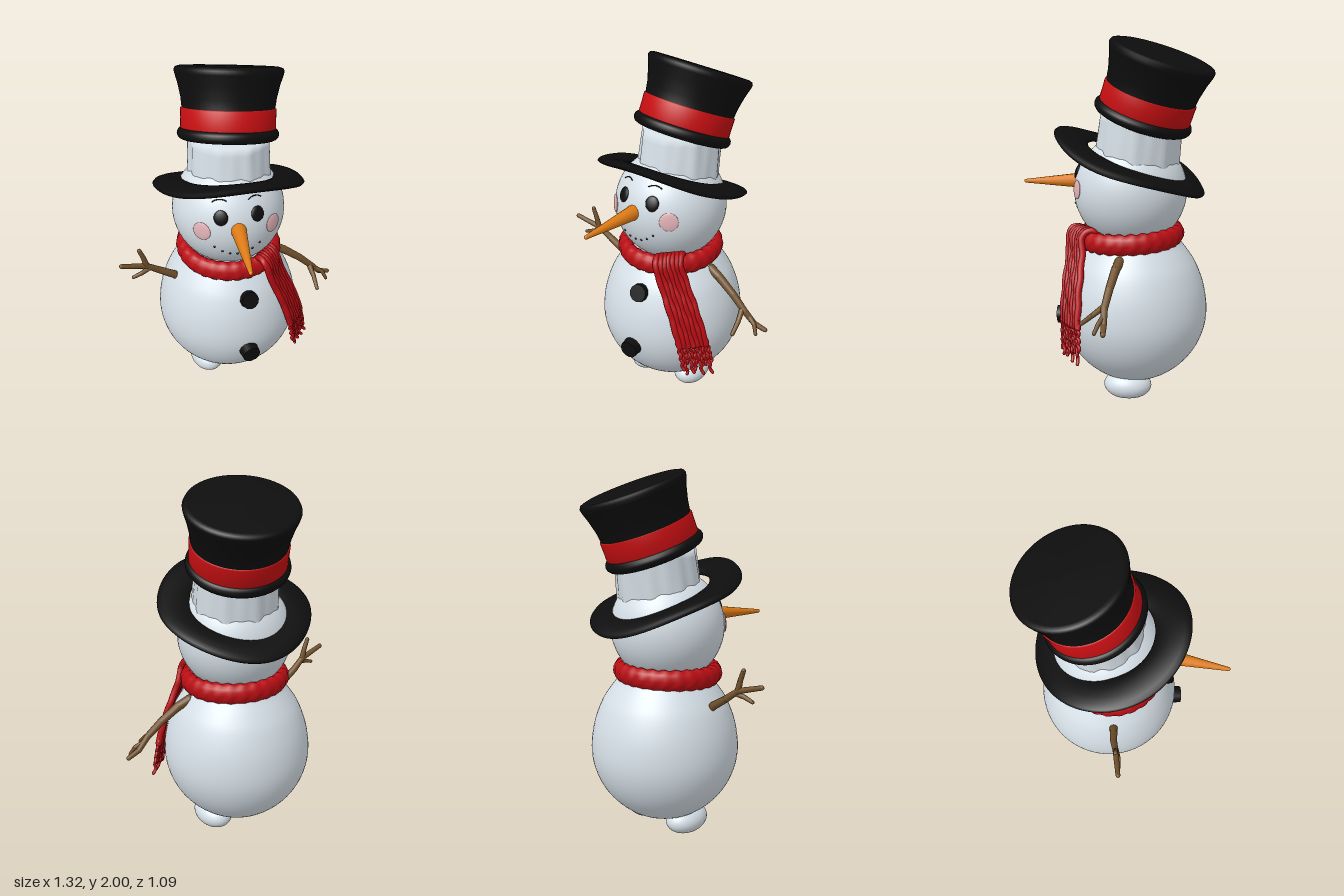
import * as THREE from 'three';
import { mergeVertices } from 'three/addons/utils/BufferGeometryUtils.js';

const paint = (name, color) => {
  const m = new THREE.MeshStandardMaterial({ color });
  m.name = name;
  return m;
};
const V = (x, y, z) => new THREE.Vector3(x, y, z);
const UP = V(0, 1, 0), FRONT = V(0, 0, 1);

// Moves every vertex by a rule and smooths the result
function bend(geometry, rule) {
  geometry.deleteAttribute('uv');
  geometry.deleteAttribute('normal');
  const g = mergeVertices(geometry, 1e-4), p = g.attributes.position, v = V(0, 0, 0);
  for (let i = 0; i < p.count; i++) {
    v.fromBufferAttribute(p, i);
    rule(v);
    p.setXYZ(i, v.x, v.y, v.z);
  }
  g.computeVertexNormals();
  return g;
}

const lathe = (pts, n = 56) => new THREE.LatheGeometry(pts.map(([x, y]) => new THREE.Vector2(x, y)), n);

export function createModel() {
  const snow = paint('snow white', 0xd5dfe6), black = paint('felt black', 0x0d0d0d);
  const red = paint('ribbon red', 0xc80f12), wool = paint('wool red', 0xb80e14);
  const wood = paint('twig brown', 0x70502b), orange = paint('carrot orange', 0xdc7a14);
  const pink = paint('cheek pink', 0xe3b3b8);

  const model = new THREE.Group();
  model.name = 'snowman';
  const add = (name, geometry, material, parent = model) => {
    const m = new THREE.Mesh(geometry, material);
    m.name = name;
    parent.add(m);
    return m;
  };
  // Tapered round piece from a to b
  const stick = (name, a, b, r0, r1, material, parent = model) => {
    const d = b.clone().sub(a);
    const m = add(name, new THREE.CylinderGeometry(r1, r0, d.length(), 12), material, parent);
    m.position.copy(a).addScaledVector(d, 0.5);
    m.quaternion.setFromUnitVectors(UP, d.normalize());
    return m;
  };

  // Body with neck
  const outline = new THREE.SplineCurve([[0, 0.055], [0.1, 0.066], [0.2, 0.105], [0.29, 0.175], [0.36, 0.265],
    [0.403, 0.37], [0.416, 0.48], [0.398, 0.61], [0.355, 0.73], [0.305, 0.81], [0.26, 0.87], [0.235, 0.92],
    [0.22, 1.0]].map(([x, y]) => new THREE.Vector2(x, y))).getPoints(48);
  add('body', new THREE.LatheGeometry(outline, 64), snow).position.z = -0.125;

  // Head, and the folded column of snow that carries the hat
  const headCentre = V(0, 1.16, -0.1), headR = 0.315;
  add('head', new THREE.SphereGeometry(headR, 56, 40), snow).position.copy(headCentre);
  const column = bend(new THREE.CylinderGeometry(0.22, 0.235, 0.36, 72, 8), v => {
    const a = Math.atan2(v.x, v.z), f = 1 + 0.02 * Math.sin(9 * a + v.y * 5) + 0.012 * Math.sin(17 * a);
    v.x = v.x * f + 0.025 + 0.04 * v.y;
    v.z = v.z * f - 0.145 - 0.12 * v.y;
  });
  add('hatColumn', column, snow).position.y = 1.41;

  // Feet, flat underneath
  for (const side of [-1, 1]) {
    const foot = bend(new THREE.SphereGeometry(1, 28, 20), v => {
      v.set(v.x * 0.1, Math.max(v.y * 0.08, -0.06), v.z * 0.135);
    });
    add(side < 0 ? 'rightFoot' : 'leftFoot', foot, snow).position.set(side * 0.153, 0.06, -0.105);
  }

  // Things resting on the head surface, facing outwards
  const onHead = (mesh, x, y, lift = 0) => {
    const dx = x - headCentre.x, dy = y - headCentre.y;
    const n = V(dx, dy, Math.sqrt(headR * headR - dx * dx - dy * dy)).normalize();
    mesh.position.copy(headCentre).addScaledVector(n, headR + lift);
    mesh.quaternion.setFromUnitVectors(FRONT, n);
    return mesh;
  };
  const spot = () => new THREE.SphereGeometry(1, 24, 16);
  for (const [side, x] of [['right', -0.145], ['left', 0.05]]) {
    onHead(add(side + 'Eye', spot(), black), x, 1.27).scale.set(0.038, 0.042, 0.012);
    const brow = new THREE.TorusGeometry(0.065, 0.003, 6, 16, 1.3).rotateZ(Math.PI / 2 - 0.65);
    onHead(add(side + 'Brow', brow, black), x, 1.3);
  }
  for (const [side, x] of [['right', -0.235], ['left', 0.145]])
    onHead(add(side + 'Cheek', spot(), pink), x, 1.18).scale.set(0.052, 0.052, 0.009);
  for (let i = 0; i < 7; i++) {
    const t = (i - 3) / 3;
    onHead(add('mouthDot', spot(), black), -0.06 + 0.12 * t, 1.035 + 0.055 * t * t).scale.setScalar(0.006);
  }
  stick('nose', V(-0.055, 1.2, 0.17), V(-0.136, 1.175, 0.53), 0.045, 0.011, orange);
  const tip = add('noseTip', spot(), orange);
  tip.position.set(-0.136, 1.175, 0.53);
  tip.scale.setScalar(0.0112);

  // Buttons
  stick('upperButton', V(-0.01, 0.715, 0.19), V(-0.01, 0.738, 0.255), 0.055, 0.05, black);
  stick('lowerButton', V(-0.03, 0.4, 0.25), V(-0.03, 0.395, 0.33), 0.057, 0.052, black);

  // Twig arms: each branch is a run of points with a start and end radius
  const twigs = {
    rightArm: [
      [[-0.28, 0.72, -0.1], [-0.34, 0.77, -0.1], [-0.43, 0.83, -0.1], [-0.5, 0.885, -0.09], [-0.645, 0.93, -0.08], 0.026, 0.013],
      [[-0.5, 0.885, -0.09], [-0.515, 0.945, -0.09], [-0.535, 1.0, -0.09], 0.017, 0.012],
      [[-0.48, 0.87, -0.09], [-0.535, 0.855, -0.075], [-0.585, 0.84, -0.075], 0.015, 0.01],
    ],
    leftArm: [
      [[0.28, 0.82, -0.07], [0.34, 0.79, -0.055], [0.44, 0.715, -0.035], [0.52, 0.64, -0.02], [0.58, 0.575, -0.025], [0.645, 0.55, -0.03], 0.027, 0.013],
      [[0.505, 0.65, -0.02], [0.51, 0.6, 0.04], [0.505, 0.55, 0.1], 0.017, 0.011],
      [[0.55, 0.61, -0.02], [0.59, 0.585, 0.0], [0.61, 0.54, 0.02], 0.014, 0.01],
    ],
  };
  for (const [name, branches] of Object.entries(twigs)) {
    const arm = new THREE.Group();
    arm.name = name;
    model.add(arm);
    for (const branch of branches) {
      const [r0, r1] = branch.slice(-2), pts = branch.slice(0, -2).map(p => V(...p)), n = pts.length - 1;
      const r = i => r0 + (r1 - r0) * i / n;
      pts.forEach((p, i) => {
        if (i < n) stick('twig', p, pts[i + 1], r(i), r(i + 1), wood, arm);
        const joint = add('twigJoint', new THREE.SphereGeometry(r(i), 12, 8), wood, arm);
        joint.position.copy(p);
      });
    }
  }

  // Scarf loop with a knitted, lumpy surface
  const loop = bend(new THREE.TorusGeometry(0.26, 0.042, 18, 160).rotateX(Math.PI / 2), v => {
    const a = Math.atan2(v.x, v.z), c = V(Math.sin(a) * 0.26, 0, Math.cos(a) * 0.26);
    const q = v.clone().sub(c);
    const turn = Math.atan2(q.y, q.x * Math.sin(a) + q.z * Math.cos(a));
    q.multiplyScalar(1 + 0.09 * Math.sin(26 * a + 3 * Math.abs(turn)) * Math.cos(turn * 2));
    v.copy(c).add(V(q.x, q.y * 1.35, q.z));
    v.y -= 0.05 * v.z;
  });
  add('scarfLoop', loop, wool).position.set(0, 0.905, -0.1);

  // Hanging scarf end: ribs side by side, then a fringe
  const tail = new THREE.Group();
  tail.name = 'scarfEnd';
  model.add(tail);
  const drop = new THREE.CatmullRomCurve3([V(0.12, 0.93, 0.1), V(0.13, 0.965, 0.145), V(0.142, 0.935, 0.185),
    V(0.18, 0.82, 0.185), V(0.255, 0.64, 0.195), V(0.31, 0.47, 0.195), V(0.355, 0.28, 0.185)]);
  const across = V(0.75, 0, -0.66).normalize(), outward = V(0.66, 0, 0.75).normalize();
  const strand = (name, offset, t0, t1, radius, wobble, phase) => {
    const pts = [];
    for (let i = 0; i <= 14; i++) {
      const t = t0 + (t1 - t0) * i / 14, w = wobble * Math.sin(i * 1.9 + phase);
      pts.push(drop.getPointAt(t).addScaledVector(across, offset * (0.92 + 0.2 * t) + w)
        .addScaledVector(outward, w * Math.cos(phase * 2)));
    }
    add(name, new THREE.TubeGeometry(new THREE.CatmullRomCurve3(pts), 36, radius, 8), wool, tail);
    const end = add(name + 'End', new THREE.SphereGeometry(radius, 8, 6), wool, tail);
    end.position.copy(pts[14]);
  };
  for (let i = -3; i <= 3; i++) strand('scarfRib', i * 0.0235, 0, 0.76, 0.019, 0.0025, i * 1.7);
  for (let i = 0; i < 11; i++)
    strand('fringe', (i - 5) * 0.0155, 0.7, 0.95 + 0.05 * Math.sin(i * 2.3), 0.0095, 0.005, i * 2.1);

  // Hat crown, tilted back and to its left
  const hat = new THREE.Group();
  hat.name = 'hat';
  hat.position.set(0.03, 1.575, -0.17);
  hat.quaternion.setFromUnitVectors(UP, V(0.16, 1, -0.33).normalize());
  model.add(hat);
  add('crown', lathe([[0, -0.015], [0.235, -0.015], [0.25, 0.02], [0.249, 0.13], [0.256, 0.19], [0.272, 0.26],
    [0.288, 0.31], [0.292, 0.33], [0.285, 0.344], [0.265, 0.35], [0, 0.352]]), black, hat);
  add('crownRim', new THREE.TorusGeometry(0.243, 0.032, 14, 64).rotateX(Math.PI / 2), black, hat);
  add('hatBand', lathe([[0.248, 0.025], [0.257, 0.03], [0.256, 0.08], [0.257, 0.132], [0.248, 0.137]]), red, hat);

  // Loose wavy brim lying lower on the head
  const brim = bend(new THREE.TorusGeometry(0.325, 0.09, 14, 96).rotateX(Math.PI / 2), v => {
    const a = Math.atan2(v.x, v.z), r = Math.hypot(v.x, v.z), k = (r - 0.235) / 0.18;
    const f = 1 + 0.012 * Math.sin(3 * a + 1) * k;
    v.x *= f;
    v.z *= f;
    v.y = v.y * 0.28 + 0.37 * v.z - 0.1 * v.x + 0.018 * k * Math.cos(3 * a) - 0.012 * k;
  });
  add('hatBrim', brim, black).position.set(0.008, 1.335, -0.1);

  return model;
}
